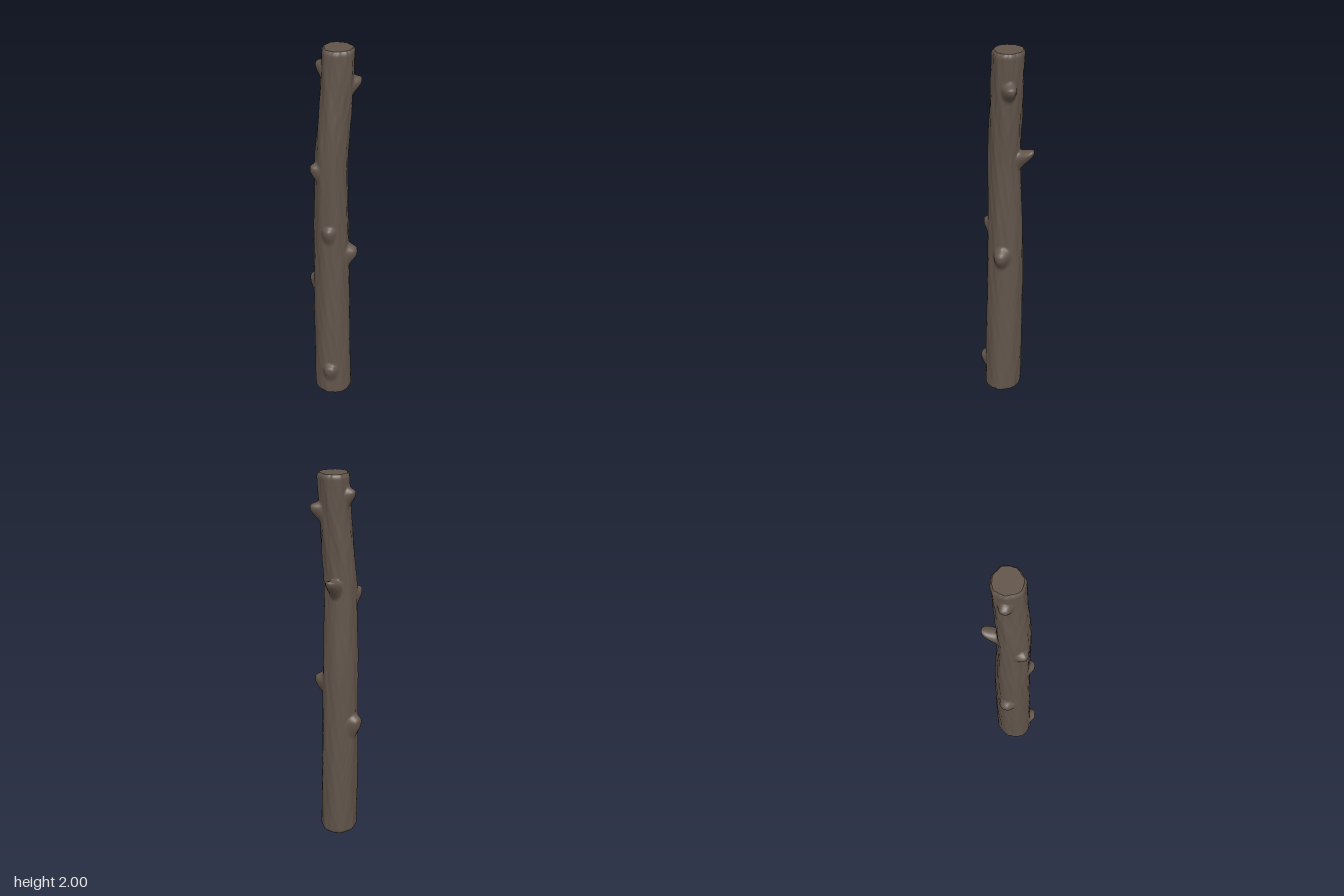
import * as THREE from 'three';
import { mergeVertices } from 'three/addons/utils/BufferGeometryUtils.js';

const HEIGHT = 2, SIDES = 80, ROWS = 240;

// Centre line and radius at equal steps from bottom to top
const curveOf = (list) => new THREE.CatmullRomCurve3(
  list.map(([x, z, r]) => new THREE.Vector3(x, r, z)), false, 'catmullrom');
const spine = curveOf([
  [-0.015, 0.015, 0.099], [-0.014, 0.010, 0.098], [-0.013, 0.005, 0.097],
  [-0.013, 0.000, 0.095], [-0.012, -0.003, 0.093], [-0.013, -0.006, 0.090],
  [-0.015, -0.005, 0.085], [-0.017, -0.003, 0.082], [-0.006, 0.000, 0.080],
  [0.010, 0.001, 0.078], [0.022, -0.002, 0.078],
]);

// Branch stubs: tip position, upward lean, spread of the collar
const stubs = [
  { tip: [0.103, 1.485, -0.100], lean: 0.040, size: 0.042 },
  { tip: [0.125, 1.835, 0.045], lean: 0.010, size: 0.042 },
  { tip: [-0.127, 1.400, -0.028], lean: 0.012, size: 0.045 },
  { tip: [0.085, 0.910, 0.088], lean: 0.005, size: 0.055 },
  { tip: [-0.068, 0.695, -0.116], lean: 0.012, size: 0.060 },
  { tip: [-0.103, 0.180, 0.104], lean: 0.015, size: 0.050 },
  { tip: [-0.092, 1.060, 0.076], lean: 0.010, size: 0.045 },
  { tip: [-0.045, 1.910, -0.092], lean: 0.010, size: 0.040 },
].map(({ tip, lean, size }) => {
  const baseY = tip[1] - lean;
  const c = spine.getPoint(baseY / HEIGHT);
  const dx = tip[0] - c.x, dz = tip[2] - c.z;
  const reach = Math.hypot(dx, dz) - c.y;
  return { angle: Math.atan2(dx, dz), baseY, lean, size, reach };
});

// Long, uneven bark ridges that wrap seamlessly around the trunk
function bark(a, y) {
  const sway = 0.5 * Math.sin(y * 3.1 + 1) + 0.25 * Math.sin(y * 7.3);
  return 0.0022 * Math.sin(3 * a + 2.3 * y + 0.6)
    + 0.0016 * Math.sin(7 * a + 4 * sway + 5 * y)
    + 0.0014 * Math.sin(12 * a - 6 * sway) * Math.sin(17 * y + 2 * a)
    + 0.0010 * Math.sin(19 * a + 9 * sway) * Math.sin(31 * y - 3 * a);
}

// Point on the trunk surface; s scales inward for the end caps
function surfacePoint(a, y, s = 1) {
  const c = spine.getPoint(y / HEIGHT);
  const edge = Math.max(0, 1 - Math.min(y, HEIGHT - y) / 0.02);
  let r = c.y + bark(a, y) - 0.010 * edge * edge;
  let lift = 0;
  for (const k of stubs) {
    const da = Math.atan2(Math.sin(a - k.angle), Math.cos(a - k.angle)) * c.y;
    const dy = y - k.baseY;
    const d = Math.hypot(da, dy < 0 ? dy / 1.7 : dy) / k.size;
    const w = 1 - THREE.MathUtils.smoothstep(d, 0.15, 1);
    r += k.reach * w;
    lift += k.lean * w;
  }
  return [c.x + Math.sin(a) * r * s, y + lift, c.z + Math.cos(a) * r * s];
}

// Trunk: an open cylinder reshaped by the surface rule
function trunkGeometry() {
  let geo = new THREE.CylinderGeometry(1, 1, HEIGHT, SIDES, ROWS, true);
  geo.deleteAttribute('uv');
  geo.deleteAttribute('normal');
  geo = mergeVertices(geo);
  const p = geo.attributes.position;
  for (let i = 0; i < p.count; i++) {
    const y = THREE.MathUtils.clamp(p.getY(i) + HEIGHT / 2, 0, HEIGHT);
    p.setXYZ(i, ...surfacePoint(Math.atan2(p.getX(i), p.getZ(i)), y));
  }
  geo.computeVertexNormals();
  return geo;
}

// Sawn end: a disc fitted to the trunk's rim
function endGeometry(y) {
  const geo = new THREE.CircleGeometry(1, SIDES);
  geo.rotateX(y > 0 ? -Math.PI / 2 : Math.PI / 2);
  const p = geo.attributes.position;
  for (let i = 0; i < p.count; i++) {
    const x = p.getX(i), z = p.getZ(i);
    p.setXYZ(i, ...surfacePoint(Math.atan2(x, z), y, Math.hypot(x, z)));
  }
  geo.computeVertexNormals();
  return geo;
}

export function createModel() {
  const wood = new THREE.MeshStandardMaterial({ color: 0x62554b });
  wood.name = 'brownBark';
  const group = new THREE.Group();
  group.name = 'woodenLog';
  const parts = {
    trunk: trunkGeometry(),
    topEnd: endGeometry(HEIGHT),
    bottomEnd: endGeometry(0),
  };
  for (const [name, geo] of Object.entries(parts)) {
    const mesh = new THREE.Mesh(geo, wood);
    mesh.name = name;
    group.add(mesh);
  }
  return group;
}
